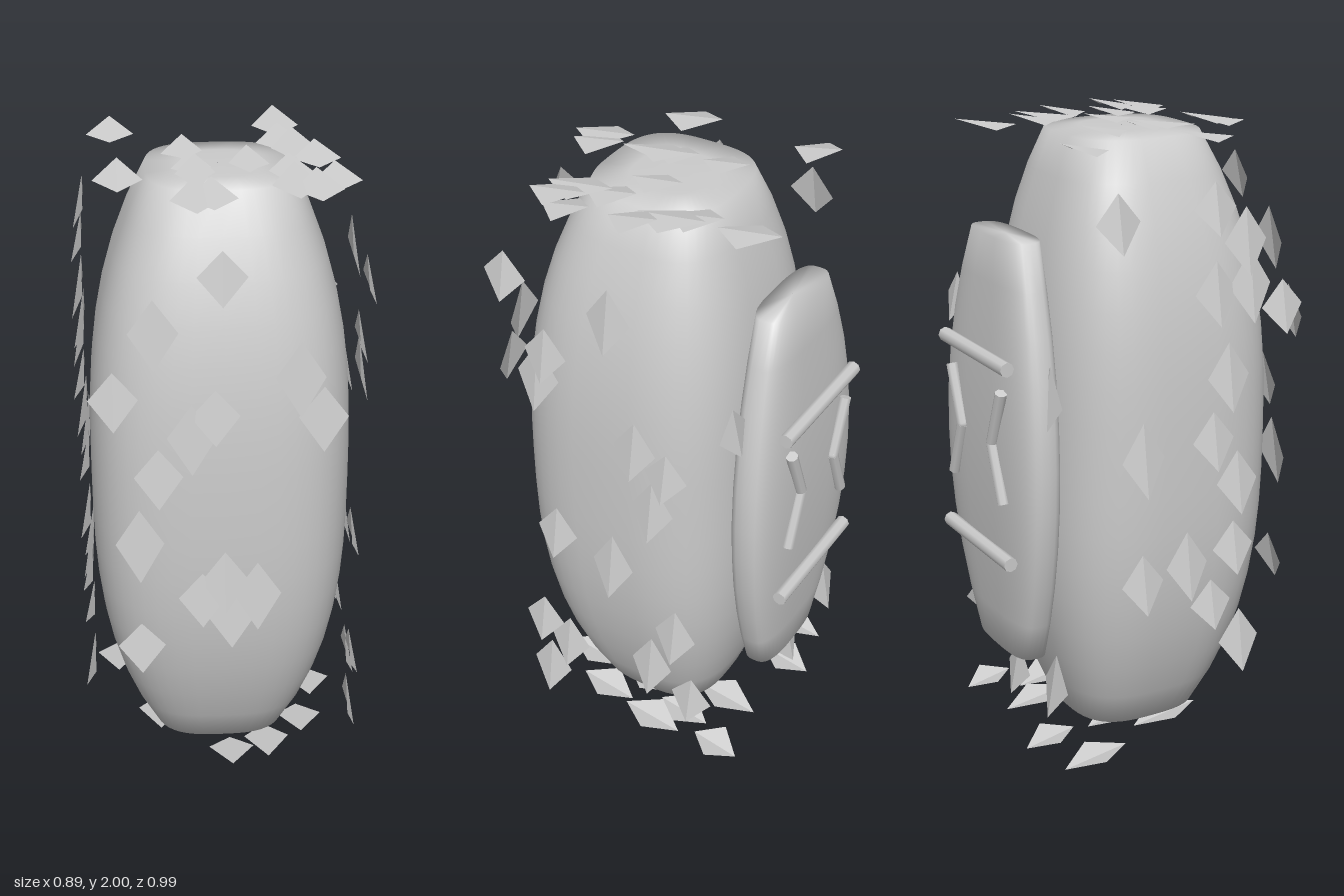
import * as THREE from 'three';

const grey = new THREE.MeshStandardMaterial({ color: 0xcccccc });
const scaleGrey = new THREE.MeshStandardMaterial({ color: 0xcccccc, flatShading: true, side: THREE.DoubleSide });
const V = (x, y, z) => new THREE.Vector3(x, y, z);

// Stacks superellipse rings; each row is [y, halfX, centreZ, halfZ]
function loft(rows, power, sides) {
  const pos = [], index = [];
  const bend = (v) => Math.sign(v) * Math.pow(Math.abs(v), 2 / power);
  rows.forEach(([y, hx, cz, hz]) => {
    for (let j = 0; j < sides; j++) {
      const a = (j / sides) * Math.PI * 2;
      pos.push(hx * bend(Math.cos(a)), y, cz + hz * bend(Math.sin(a)));
    }
  });
  for (let i = 0; i < rows.length - 1; i++) {
    for (let j = 0; j < sides; j++) {
      const a = i * sides + j, b = i * sides + ((j + 1) % sides);
      index.push(a, a + sides, b, b, a + sides, b + sides);
    }
  }
  const g = new THREE.BufferGeometry();
  g.setAttribute('position', new THREE.Float32BufferAttribute(pos, 3));
  g.setIndex(index);
  g.computeVertexNormals();
  return g;
}

function addMesh(parent, name, geometry, material = grey) {
  const m = new THREE.Mesh(geometry, material);
  m.name = name;
  parent.add(m);
  return m;
}

// Thin rod between two points
function rod(parent, name, a, b, r) {
  const dir = b.clone().sub(a);
  const m = addMesh(parent, name, new THREE.CylinderGeometry(r, r, dir.length(), 8));
  m.position.copy(a).add(b).multiplyScalar(0.5);
  m.quaternion.setFromUnitVectors(V(0, 1, 0), dir.normalize());
}

// Barrel body: full in the middle, narrowing towards gently closed ends
function bodyGeometry() {
  const rows = [];
  for (let i = 0; i <= 16; i++) {
    const t = i / 8 - 1, pinch = Math.pow(Math.abs(t), 2.8);
    rows.push([1 + 0.966 * t, 0.407 * (1 - 0.46 * pinch), 0.073 - 0.027 * t * t, 0.387 * (1 - 0.44 * pinch)]);
  }
  const cap = (y, r) => [y, r, 0.045, r];
  return loft([cap(0.027, 0.001), cap(0.027, 0.12), ...rows, cap(1.973, 0.12), cap(1.973, 0.001)], 3, 48);
}

// Tapered pack: wide in the middle, closed by flat ends with softened shading
function packGeometry() {
  const rows = [];
  for (let i = 0; i <= 10; i++) {
    const t = i / 5 - 1, back = 0.467 - 0.047 * t * t;
    rows.push([1 + 0.68 * t, 0.317 - 0.147 * t * t, -(0.3 + back) / 2, (back - 0.3) / 2]);
  }
  const tip = (y) => [y, 0.001, -0.36, 0.001];
  return loft([tip(0.32), ...rows, tip(1.68)], 3, 40);
}

// Folded diamond: three corners lie flat, the lower tip lifts outward
function diamond() {
  const g = new THREE.BufferGeometry();
  const t = [0, 1, 0], l = [-1, 0, 0], r = [1, 0, 0], b = [0, -1, 0.034];
  g.setAttribute('position', new THREE.Float32BufferAttribute([t, l, b, t, b, r].flat(), 3));
  g.computeVertexNormals();
  return g;
}
const scaleShape = diamond();

// Scales on one plane: at() places each spot, up runs along the scale, out faces away
function addScales(parent, name, up, out, at, spots) {
  const group = new THREE.Group();
  group.name = name + 's';
  const basis = new THREE.Matrix4().makeBasis(up.clone().cross(out), up, out);
  spots.forEach(([u, v], i) => {
    const m = addMesh(group, name, scaleShape, scaleGrey);
    m.quaternion.setFromRotationMatrix(basis);
    m.position.copy(at(u, v));
    m.scale.set(0.074, 0.08 + 0.04 * ((i * 0.618) % 1), 1);
  });
  parent.add(group);
}

export function createModel() {
  const model = new THREE.Group();
  model.name = 'scaledCapsule';

  addMesh(model, 'body', bodyGeometry());
  addMesh(model, 'backPack', packGeometry());

  // Two cross bars
  for (const y of [0.69, 1.32]) {
    rod(model, 'crossBar', V(-0.22, y, -0.47), V(0.22, y, -0.47), 0.023);
  }

  // Mirrored bent strips with elbows pointing inward
  for (const s of [-1, 1]) {
    const elbow = V(s * 0.105, 1.055, -0.47);
    for (const y of [0.875, 1.235]) rod(model, 'bentStrip', elbow, V(s * 0.175, y, -0.47), 0.019);
    addMesh(model, 'stripElbow', new THREE.SphereGeometry(0.019, 8, 6)).position.copy(elbow);
  }

  // Loose scales around all six sides
  const upright = V(0, 1, 0), level = V(0, 0, 1);
  addScales(model, 'frontScale', upright, V(0, 0, 1), (x, y) => V(x, y, 0.46), [
    [-0.01, 1.78], [-0.21, 1.61], [-0.33, 1.4], [0.22, 1.46], [0.29, 1.33], [-0.03, 1.34], [-0.1, 1.27],
    [-0.2, 1.14], [-0.26, 0.91], [0, 0.77], [-0.07, 0.71], [0.1, 0.72], [0.02, 0.64], [-0.26, 0.54]]);
  addScales(model, 'backScale', upright, V(0, 0, -1), (x, y) => V(x, y, -0.362), [
    [0.35, 1.4], [-0.31, 0.29], [-0.05, 0.24], [-0.29, 1.22]]);
  addScales(model, 'leftScale', upright, V(1, 0, 0), (z, y) => V(0.41, y, z), [
    [0.38, 1.73], [0.02, 1.69], [0.25, 1.49], [0.28, 1.4], [-0.06, 1.25], [-0.17, 1.19], [-0.12, 1.04], [0.24, 0.8],
    [0.03, 0.75], [-0.2, 0.55], [0.31, 0.39], [-0.11, 0.38], [0.21, 0.33], [-0.26, 0.3], [0.29, 0.18]]);
  addScales(model, 'rightScale', upright, V(-1, 0, 0), (z, y) => V(-0.41, y, z), [
    [0.13, 1.78], [0.24, 1.67], [-0.2, 1.77], [0.26, 1.53], [0.14, 1.52], [0.38, 1.45], [0.19, 1.25], [0.14, 1.05],
    [-0.11, 1.03], [0.23, 0.9], [0.22, 0.68], [0.05, 0.65], [-0.11, 0.62], [0.14, 0.5], [0.25, 0.35]]);
  addScales(model, 'topScale', level, V(0, 1, 0), (x, z) => V(x, 1.966, z), [
    [-0.32, -0.26], [0.2, -0.32], [0.2, -0.15], [0.24, -0.09], [-0.1, -0.05], [0.3, 0], [0.09, 0.07], [-0.08, 0.1],
    [-0.07, 0.15], [-0.3, 0.16], [0.21, 0.13], [0.22, 0.23], [0.28, 0.27], [0.34, 0.2], [-0.08, 0.34], [-0.03, 0.33]]);
  addScales(model, 'bottomScale', level, V(0, -1, 0), (x, z) => V(x, 0.034, z), [
    [0.32, -0.3], [0.32, -0.05], [0.24, -0.13], [0.11, -0.22], [0.27, 0.16], [0.17, 0.05], [0.15, 0.28],
    [0.03, 0.33], [-0.2, 0.1], [-0.13, -0.05], [-0.16, -0.31], [-0.34, -0.24], [-0.11, 0.03]]);
  return model;
}
